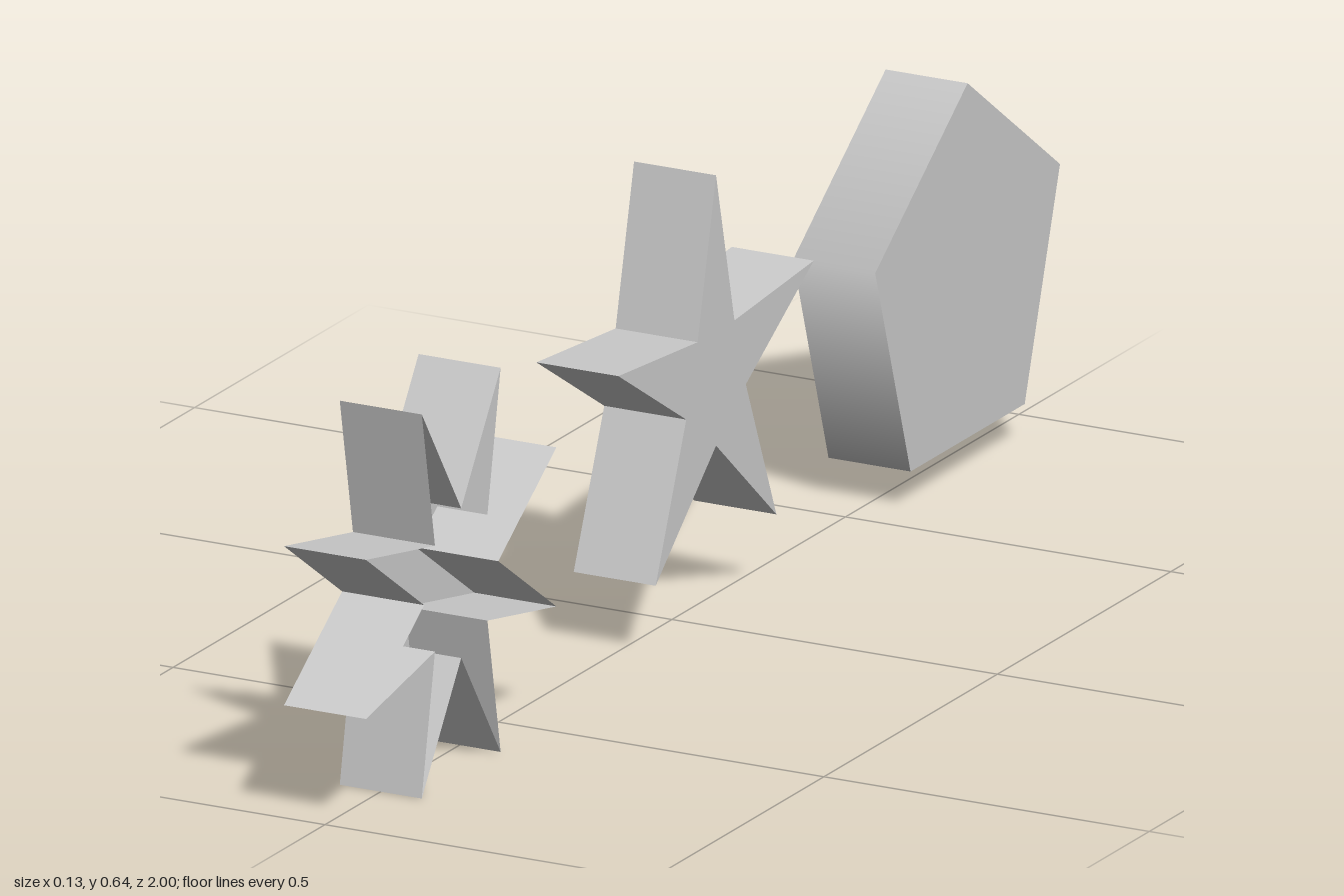
import * as THREE from 'three';

const DEPTH = 0.126;
const smooth = new THREE.MeshStandardMaterial({ color: 0xcccccc });
const flat = new THREE.MeshStandardMaterial({ color: 0xcccccc, flatShading: true, side: THREE.DoubleSide });

// pull every second rim vertex of a round geometry (axis y) inwards
function makeStar(geometry, points, inner) {
  const p = geometry.attributes.position;
  for (let i = 0; i < p.count; i++) {
    const k = Math.round(Math.atan2(p.getX(i), p.getZ(i)) / (Math.PI / points));
    if (k % 2 !== 0) p.setXYZ(i, p.getX(i) * inner, p.getY(i), p.getZ(i) * inner);
  }
  const g = geometry.toNonIndexed();
  g.computeVertexNormals();
  return g;
}

// turn the prism axis to x with the first point upwards, then place it
function place(group, name, geometry, material, y, z, turn = 0) {
  geometry.rotateY(turn - Math.PI / 2).rotateZ(-Math.PI / 2);
  const mesh = new THREE.Mesh(geometry, material);
  mesh.name = name;
  mesh.position.set(0, y, z);
  group.add(mesh);
}

export function createModel() {
  const group = new THREE.Group();
  group.name = 'prismShapes';

  // pentagon prism with smooth rim
  place(group, 'pentagon', new THREE.CylinderGeometry(0.28, 0.28, DEPTH, 5), smooth, 0.281, -0.734);

  // five-pointed star
  const five = new THREE.CylinderGeometry(0.296, 0.296, DEPTH, 10);
  place(group, 'fivePointStar', makeStar(five, 5, 0.305), flat, 0.346, -0.009);

  // eight-pointed star, a tray open on its +x side
  const rim = new THREE.CylinderGeometry(0.297, 0.297, DEPTH, 16, 1, true);
  const back = new THREE.CircleGeometry(0.297, 16).rotateX(Math.PI / 2).translate(0, -DEPTH / 2, 0);
  place(group, 'eightPointStarRim', makeStar(rim, 8, 0.36), flat, 0.2745, 0.7255, Math.PI / 8);
  place(group, 'eightPointStarBack', makeStar(back, 8, 0.36), flat, 0.2745, 0.7255, Math.PI / 8);

  return group;
}
